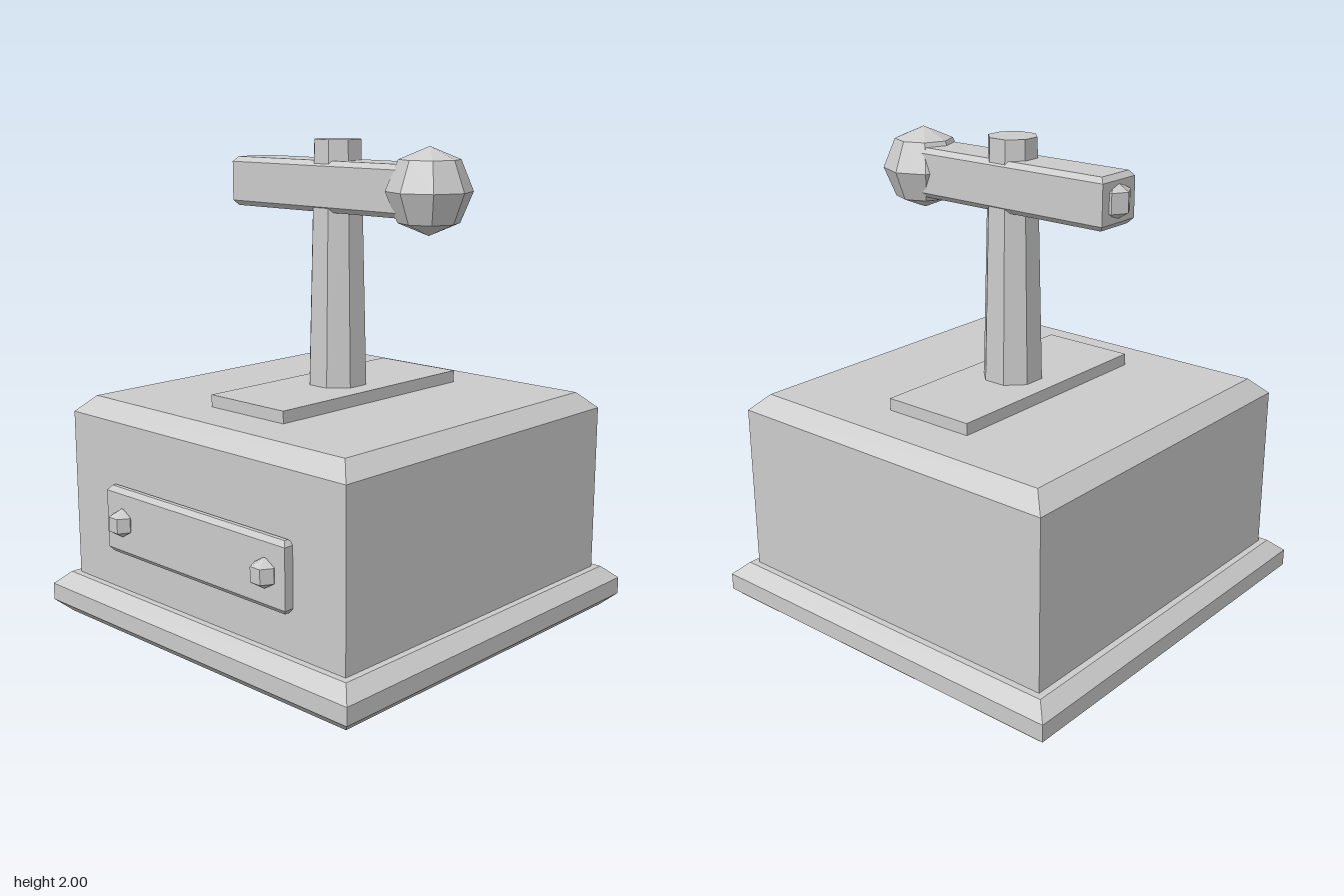
import * as THREE from 'three';

const material = new THREE.MeshStandardMaterial({ color: 0xcccccc, flatShading: true });

function addMesh(parent, name, geometry, x, y, z) {
  const mesh = new THREE.Mesh(geometry, material);
  mesh.name = name;
  mesh.position.set(x, y, z);
  parent.add(mesh);
  return mesh;
}

// Box standing on y = 0 whose top and bottom rims slope inwards.
// top / bottom: { rise, inset } of the bevel; leave out for a square rim.
function bevelBox(w, h, d, top, bottom) {
  const none = { rise: 0, inset: 0 };
  const t = top || none;
  const b = bottom || none;
  const heights = [0, b.rise, h - t.rise, h];
  const insets = [b.inset, 0, 0, t.inset];
  const geometry = new THREE.BoxGeometry(w, 3, d, 1, 3, 1);
  const p = geometry.attributes.position;
  for (let i = 0; i < p.count; i++) {
    const level = Math.round(p.getY(i) + 1.5);
    const inset = insets[level];
    p.setXYZ(
      i,
      p.getX(i) - Math.sign(p.getX(i)) * inset,
      heights[level],
      p.getZ(i) - Math.sign(p.getZ(i)) * inset
    );
  }
  geometry.computeVertexNormals();
  return geometry;
}

export function createModel() {
  const model = new THREE.Group();
  model.name = 'leverBox';

  // Plinth and main housing
  const plinthBevel = { rise: 0.053, inset: 0.057 };
  addMesh(model, 'plinth', bevelBox(1.72, 0.178, 1.725, plinthBevel, plinthBevel), 0, 0, 0);
  addMesh(model, 'housing', bevelBox(1.55, 0.83, 1.555, { rise: 0.067, inset: 0.068 }), 0, 0.12, 0);
  addMesh(model, 'topPlate', bevelBox(0.41, 0.07, 1.035), 0, 0.93, 0);

  // Front panel with its two studs
  const panelBevel = { rise: 0.02, inset: 0.016 };
  addMesh(model, 'frontPanel', bevelBox(1.03, 0.28, 0.05, panelBevel, panelBevel), 0, 0.345, 0.793);
  for (const side of [-1, 1]) {
    addMesh(model, 'panelStud', new THREE.SphereGeometry(0.06, 6, 3), side * 0.414, 0.488, 0.825);
  }

  // Tapered octagonal post, flats facing front and sides
  const post = addMesh(model, 'post', new THREE.CylinderGeometry(0.101, 0.127, 1.02, 8), 0, 1.49, 0);
  post.rotation.y = Math.PI / 8;

  // Handle bar with its knob and end stud
  const handle = new THREE.Group();
  handle.name = 'handle';
  model.add(handle);
  const barBevel = { rise: 0.021, inset: 0.018 };
  addMesh(handle, 'bar', bevelBox(1.0, 0.205, 0.205, barBevel, barBevel), -0.015, 1.712, 0);
  addMesh(handle, 'knob', new THREE.SphereGeometry(0.17, 8, 4), 0.48, 1.815, 0);
  addMesh(handle, 'endStud', new THREE.SphereGeometry(0.08, 6, 3), -0.491, 1.815, 0);

  return model;
}
